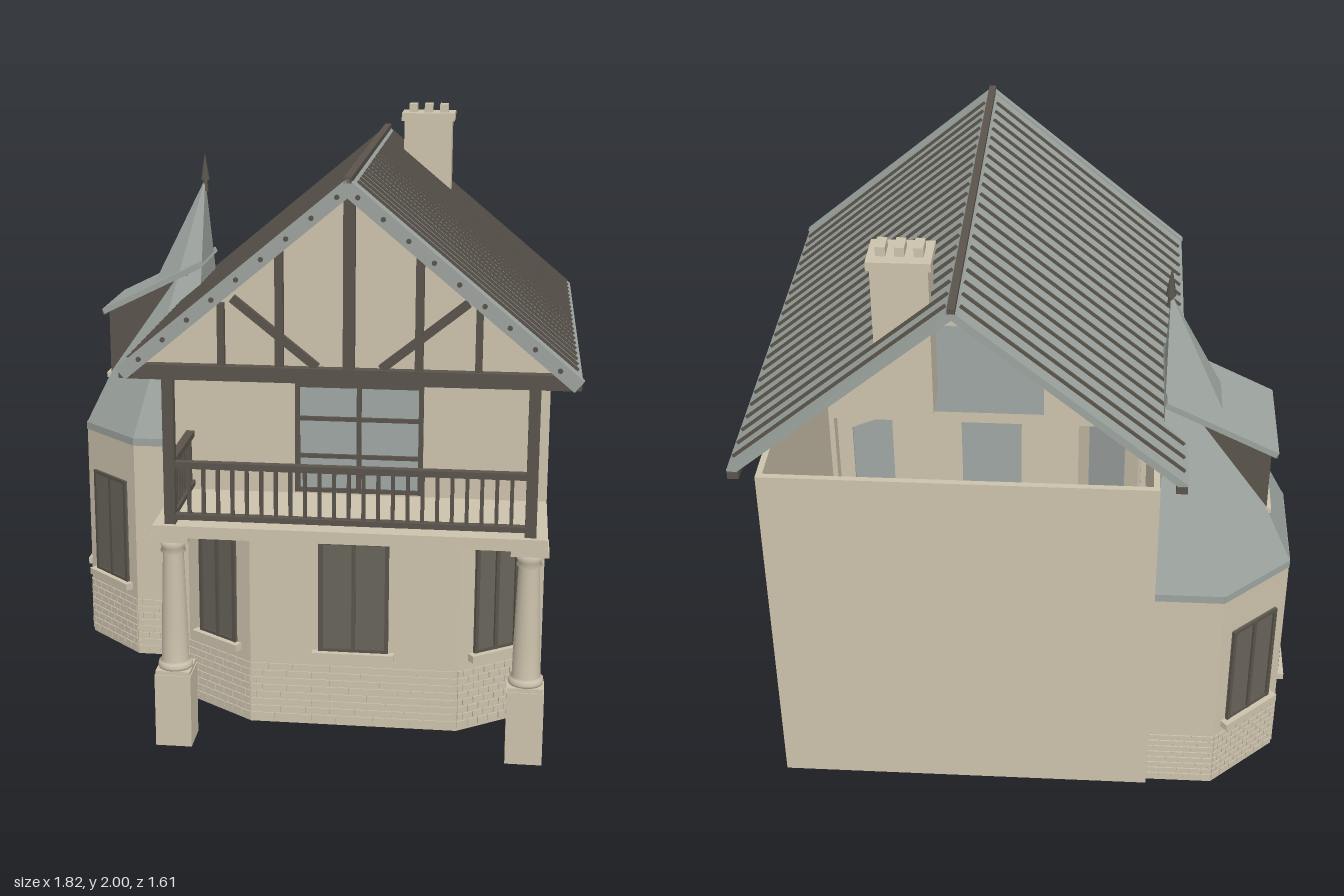
import * as THREE from 'three';

const mat = (name, color, side = THREE.FrontSide) => {
  const m = new THREE.MeshStandardMaterial({ color, side });
  m.name = name;
  return m;
};
const cream = mat('cream plaster', 0xcdc3ad);
const slate = mat('grey metal roof', 0x9da49f, THREE.DoubleSide);
const timber = mat('dark timber', 0x5a544b);
const glass = mat('dark glass', 0x68645b);
const pale = mat('pale glass', 0xa0a7a4);

const add = (parent, name, geo, material) => {
  const m = new THREE.Mesh(geo, material);
  m.name = name;
  parent.add(m);
  return m;
};
// Box given by its minimum and maximum corners
const box = (parent, name, material, x0, x1, y0, y1, z0, z1) => {
  const m = add(parent, name, new THREE.BoxGeometry(x1 - x0, y1 - y0, z1 - z0), material);
  m.position.set((x0 + x1) / 2, (y0 + y1) / 2, (z0 + z1) / 2);
  return m;
};
// Bar between two points in the xy plane
const bar = (parent, name, material, a, b, w, z0, z1) => {
  const dx = b[0] - a[0], dy = b[1] - a[1];
  const m = add(parent, name, new THREE.BoxGeometry(Math.hypot(dx, dy), w, z1 - z0), material);
  m.position.set((a[0] + b[0]) / 2, (a[1] + b[1]) / 2, (z0 + z1) / 2);
  m.rotation.z = Math.atan2(dy, dx);
  return m;
};

// Local frame on a wall from p to q ([x, z]); +z points outward
const facade = (parent, name, p, q) => {
  const g = new THREE.Group();
  g.name = name;
  g.position.set((p[0] + q[0]) / 2, 0, (p[1] + q[1]) / 2);
  g.rotation.y = Math.atan2(-(q[1] - p[1]), q[0] - p[0]);
  parent.add(g);
  return [g, Math.hypot(q[0] - p[0], q[1] - p[1])];
};

// Two-pane window with frame, sill and an inner pane
const casement = (g, w, y0, y1) => {
  const h = w / 2, f = 0.013;
  box(g, 'windowPane', glass, -h, h, y0, y1, 0, 0.004);
  box(g, 'innerPane', pale, -h, h, y0, y1, -0.024, -0.02);
  for (const x of [-h, -f / 2, h - f]) box(g, 'windowStile', timber, x, x + f, y0, y1, 0.004, 0.012);
  for (const y of [y0, y1 - f]) box(g, 'windowRail', timber, -h, h, y, y + f, 0.004, 0.011);
  box(g, 'windowSill', cream, -h - 0.02, h + 0.02, y0 - 0.022, y0 + 0.003, 0, 0.03);
};

// Staggered brick courses on a plinth
const bricks = (g, len) => {
  const bw = 0.042, bh = 0.026;
  for (let r = 0; r < 8; r++) {
    for (let x = -len / 2 - (r % 2) * bw / 2; x < len / 2; x += bw) {
      const a = Math.max(x, -len / 2) + 0.002, b = Math.min(x + bw, len / 2) - 0.002;
      if (b - a > 0.006) box(g, 'brick', cream, a, b, r * bh + 0.012, r * bh + 0.034, 0, 0.004);
    }
  }
};

const polyWalls = (parent, name, pts, top, windows) => {
  for (let i = 0; i < pts.length - 1; i++) {
    const [g, len] = facade(parent, name, pts[i], pts[i + 1]);
    box(g, 'wallPanel', cream, -len / 2, len / 2, 0, top, -0.02, 0);
    bricks(g, len);
    if (windows[i]) casement(g, windows[i], 0.27, 0.665);
  }
};

export function createModel() {
  const house = new THREE.Group();
  house.name = 'house';
  const C = 0.19; // centre line of the main gable

  // Hollow main walls, open below
  box(house, 'rightWall', cream, 0.80, 0.82, 0, 1.27, -0.79, 0.35);
  box(house, 'leftWall', cream, -0.44, -0.42, 0, 1.27, -0.79, 0.35);
  box(house, 'backWall', cream, -0.42, 0.80, 0, 1.27, -0.79, -0.77);
  box(house, 'upperFrontWall', cream, -0.42, 0.80, 0.73, 1.27, 0.33, 0.35);

  // Ground floor bay
  polyWalls(house, 'frontBay', [[-0.44, 0.35], [-0.40, 0.35], [-0.16, 0.52], [0.54, 0.52], [0.78, 0.35], [0.82, 0.35]],
    0.735, [0, 0.17, 0.235, 0.17, 0]);

  // Balcony slab and porch ceiling
  box(house, 'balconySlab', cream, -0.44, 0.82, 0.73, 0.77, 0.34, 0.74);
  box(house, 'porchCeiling', cream, -0.42, 0.80, 1.258, 1.268, 0.35, 0.70);

  // Columns on pedestals, with balcony posts above
  const profile = [[0, 0.262], [0.056, 0.262], [0.058, 0.272], [0.054, 0.285], [0.045, 0.29], [0.043, 0.40],
    [0.034, 0.66], [0.042, 0.668], [0.036, 0.68], [0.055, 0.715], [0, 0.715]].map(p => new THREE.Vector2(...p));
  for (const s of [-1, 1]) {
    const x = C + s * 0.575;
    box(house, 'pedestal', cream, x - 0.06, x + 0.06, 0, 0.25, 0.62, 0.74);
    box(house, 'columnPlinth', cream, x - 0.057, x + 0.057, 0.25, 0.264, 0.623, 0.737);
    add(house, 'column', new THREE.LatheGeometry(profile, 20), cream).position.set(x, 0, 0.68);
    box(house, 'columnAbacus', cream, x - 0.06, x + 0.06, 0.712, 0.732, 0.62, 0.74);
    box(house, 'balconyPost', timber, x - 0.018, x + 0.018, 0.77, 1.26, 0.69, 0.722);
    // side railing
    for (const [y0, y1] of [[0.785, 0.803], [0.957, 0.978]])
      box(house, 'sideRail', timber, x - 0.014, x + 0.014, y0, y1, 0.35, 0.70);
    for (let i = 0; i < 8; i++) {
      const z = 0.37 + i * 0.041;
      box(house, 'sideBaluster', timber, x - 0.006, x + 0.006, 0.80, 0.96, z - 0.006, z + 0.006);
    }
  }
  // Front railing
  for (const [y0, y1] of [[0.785, 0.803], [0.957, 0.978]])
    box(house, 'frontRail', timber, C - 0.57, C + 0.57, y0, y1, 0.692, 0.72);
  for (let i = 1; i < 24; i++) {
    const x = C - 0.56 + i * 1.12 / 24;
    box(house, 'frontBaluster', timber, x - 0.006, x + 0.006, 0.80, 0.96, 0.70, 0.712);
  }

  // Balcony window
  box(house, 'balconyGlass', pale, -0.025, 0.405, 0.78, 1.16, 0.35, 0.356);
  box(house, 'balconyInnerPane', pale, -0.025, 0.405, 0.78, 1.16, 0.324, 0.33);
  for (const x of [-0.025, C - 0.008, 0.389])
    box(house, 'balconyWindowStile', timber, x, x + 0.016, 0.78, 1.16, 0.356, 0.368);
  for (const y of [0.78, 0.90, 1.03, 1.145])
    box(house, 'balconyWindowRail', timber, -0.025, 0.405, y, y + 0.014, 0.356, 0.366);

  // Half-timbered gable
  const tri = new THREE.Shape([[-0.48, 1.295], [0.86, 1.295], [C, 1.865]].map(p => new THREE.Vector2(...p)));
  add(house, 'gablePanel', new THREE.ExtrudeGeometry(tri, { depth: 0.02, bevelEnabled: false }), cream).position.z = 0.69;
  box(house, 'gableBeam', timber, -0.51, 0.89, 1.255, 1.302, 0.69, 0.745);
  box(house, 'kingPost', timber, C - 0.018, C + 0.018, 1.30, 1.86, 0.71, 0.74);
  for (const s of [-1, 1]) {
    box(house, 'gablePost', timber, C + s * 0.217 - 0.013, C + s * 0.217 + 0.013, 1.30, 1.665, 0.71, 0.735);
    box(house, 'shortPost', timber, C + s * 0.40 - 0.011, C + s * 0.40 + 0.011, 1.30, 1.50, 0.71, 0.735);
    bar(house, 'gableBrace', timber, [C + s * 0.365, 1.515], [C + s * 0.10, 1.302], 0.026, 0.71, 0.73);
  }

  // Main roof: each slope runs along local +x from the ridge
  const L = 0.937;
  for (const s of [1, -1]) {
    const g = new THREE.Group();
    g.name = 'roofSlope';
    g.position.set(C, 1.9, 0);
    g.rotation.set(0, s > 0 ? 0 : Math.PI, -Math.atan2(0.6, 0.72));
    house.add(g);
    box(g, 'roofSheet', slate, 0, L, -0.03, -0.006, -0.795, 0.795);
    for (let i = 0; i < 21; i++) {
      const z = s * (-0.74 + i * 0.072);
      box(g, 'roofSeam', timber, 0.03, L - 0.02, -0.006, 0.003, z - 0.004, z + 0.004);
    }
    const zs = [s * 0.772, s * 0.8].sort((a, b) => a - b);
    box(g, 'bargeBoard', slate, 0, L, -0.046, 0, ...zs);
    for (let i = 0; i < 9; i++) {
      const stud = add(g, 'bargeStud', new THREE.CylinderGeometry(0.008, 0.008, 0.01, 8), timber);
      stud.rotation.x = Math.PI / 2;
      stud.position.set(0.06 + i * 0.1, -0.023, s * 0.802);
    }
    const x = C + s * 0.695;
    box(house, 'eaveGutter', timber, x - 0.018, x + 0.018, 1.268, 1.292, -0.8, 0.79);
  }
  box(house, 'ridgeCap', timber, C - 0.012, C + 0.012, 1.885, 1.903, -0.8, 0.8);

  // Chimney
  box(house, 'chimneyStack', cream, 0.27, 0.445, 1.43, 1.945, -0.65, -0.52);
  box(house, 'chimneyCap', cream, 0.26, 0.455, 1.942, 1.97, -0.66, -0.515);
  for (const x of [0.30, 0.357, 0.414]) box(house, 'chimneyPot', cream, x - 0.015, x + 0.015, 1.97, 2.0, -0.62, -0.555);

  // Side turret
  const plan = [[-0.44, -0.77], [-0.665, -0.77], [-0.885, -0.57], [-0.885, -0.2], [-0.665, 0], [-0.44, 0]];
  polyWalls(house, 'turretWall', plan, 0.815, [0, 0.2, 0.2, 0.2, 0]);
  for (let i = 0; i < 5; i++) {
    const [g, len] = facade(house, 'turretCornice', plan[i], plan[i + 1]);
    box(g, 'corniceBand', slate, -len / 2, len / 2, 0.812, 0.84, -0.02, 0.002);
  }
  // Pyramid roof: faces from the plan to the apex
  const apex = [-0.455, 1.735, -0.385], tris = [];
  plan.forEach((p, i) => {
    const q = plan[(i + 1) % plan.length];
    tris.push(p[0], 0.84, p[1], q[0], 0.84, q[1], ...apex);
  });
  const pyramid = new THREE.BufferGeometry();
  pyramid.setAttribute('position', new THREE.Float32BufferAttribute(tris, 3));
  pyramid.computeVertexNormals();
  add(house, 'turretRoof', pyramid, slate);
  add(house, 'finialSpike', new THREE.ConeGeometry(0.017, 0.1, 8), timber).position.set(apex[0], 1.78, apex[2]);
  add(house, 'finialStem', new THREE.CylinderGeometry(0.006, 0.012, 0.05, 8), timber).position.set(apex[0], 1.715, apex[2]);

  // Turret dormer with a shed roof
  const side = new THREE.Shape([[-0.785, 1.0], [-0.5, 1.0], [-0.5, 1.41], [-0.785, 1.27]].map(p => new THREE.Vector2(...p)));
  add(house, 'dormerBody', new THREE.ExtrudeGeometry(side, { depth: 0.29, bevelEnabled: false }), timber).position.z = -0.53;
  box(house, 'dormerPane', glass, -0.79, -0.784, 1.04, 1.25, -0.51, -0.26);
  for (const z of [-0.53, -0.391, -0.252]) box(house, 'dormerStile', timber, -0.797, -0.785, 1.01, 1.26, z, z + 0.012);
  box(house, 'dormerSill', cream, -0.812, -0.78, 1.005, 1.025, -0.535, -0.235);
  bar(house, 'dormerRoof', slate, [-0.812, 1.262], [-0.45, 1.44], 0.02, -0.573, -0.205);
  box(house, 'dormerEave', timber, -0.815, -0.80, 1.25, 1.27, -0.57, -0.208);
  return house;
}
